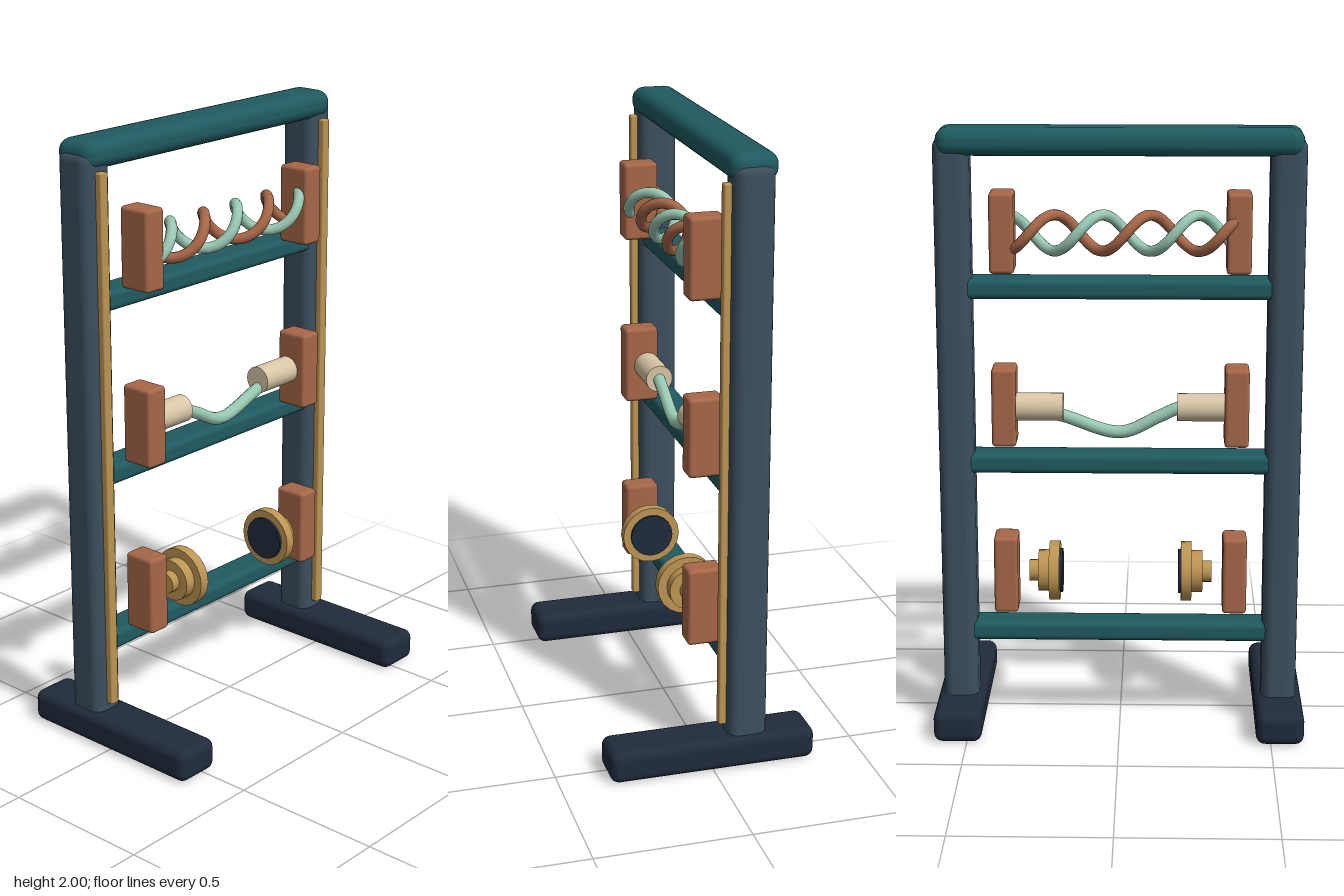
import * as THREE from 'three';
import { RoundedBoxGeometry } from 'three/addons/geometries/RoundedBoxGeometry.js';

function paint(name, color) {
  const m = new THREE.MeshStandardMaterial({ color });
  m.name = name;
  return m;
}

export function createModel() {
  const root = new THREE.Group();
  root.name = 'rack';
  const teal = paint('teal', 0x1f5a60);
  const slate = paint('slate', 0x3c4f5e);
  const navy = paint('navy', 0x202b3c);
  const clay = paint('clay', 0xa76748);
  const mint = paint('mint', 0x98c8b2);
  const cream = paint('cream', 0xd9c6a6);
  const brass = paint('brass', 0xbd9553);

  function add(name, geometry, material, x = 0, y = 0, z = 0) {
    const mesh = new THREE.Mesh(geometry, material);
    mesh.name = name;
    mesh.position.set(x, y, z);
    root.add(mesh);
    return mesh;
  }
  const box = (name, mat, w, h, d, r, x, y, z) =>
    add(name, new RoundedBoxGeometry(w, h, d, 3, r), mat, x, y, z);

  // Cylinder lying along x, between x0 and x1
  function disc(name, mat, r, x0, x1, y, z) {
    const mesh = add(name, new THREE.CylinderGeometry(r, r, Math.abs(x1 - x0), 20), mat, (x0 + x1) / 2, y, z);
    mesh.rotation.z = Math.PI / 2;
  }

  // Frame: top beam and three rails
  box('topBeam', teal, 1.155, 0.09, 0.153, 0.04, 0, 1.955, -0.122);
  const railTops = [0.365, 0.943, 1.52];
  for (const top of railTops) box('rail', teal, 1.0, 0.066, 0.11, 0.02, 0, top - 0.033, -0.12);

  for (const s of [-1, 1]) {
    // Uprights, feet and brass inlay strips
    box('foot', navy, 0.158, 0.108, 0.68, 0.03, s * 0.53, 0.054, 0);
    box('post', slate, 0.115, 1.91, 0.13, 0.035, s * 0.53, 1.015, -0.12);
    box('trimStrip', brass, 0.032, 1.775, 0.03, 0.006, s * 0.53, 1.02, -0.047);

    // End blocks standing on every rail
    for (const top of railTops) box('endBlock', clay, 0.08, 0.262, 0.115, 0.012, s * 0.382, top + 0.129, -0.022);

    // Grips on the curved bar
    disc('grip', cream, 0.046, s * 0.342, s * 0.187, 1.07, -0.04);

    // Stepped knobs with dark pads facing inward
    disc('knobShaft', brass, 0.036, s * 0.306, s * 0.27, 0.493, -0.015);
    disc('knobHub', brass, 0.07, s * 0.275, s * 0.23, 0.493, -0.015);
    disc('knobFlange', brass, 0.1, s * 0.238, s * 0.203, 0.493, -0.015);
    disc('knobPad', navy, 0.074, s * 0.205, s * 0.194, 0.493, -0.015);
  }

  // Two intertwined strands on the top rail
  [mint, clay].forEach((mat, i) => {
    const pts = [];
    for (let k = 0; k <= 48; k++) {
      const x = -0.37 + (0.74 * k) / 48;
      const a = (2 * Math.PI * (x + 0.245)) / 0.31 + i * Math.PI;
      pts.push(new THREE.Vector3(x, 1.645 + 0.058 * Math.cos(a), -0.03 - 0.056 * Math.sin(a)));
    }
    add('twistedStrand', new THREE.TubeGeometry(new THREE.CatmullRomCurve3(pts), 120, 0.018, 10), mat);
  });

  // Sagging bar between the grips
  const sag = [[-0.34, 1.075], [-0.2, 1.07], [-0.13, 1.04], [0, 0.985], [0.19, 1.04], [0.34, 1.075]]
    .map(([x, y]) => new THREE.Vector3(x, y, -0.04));
  add('curvedBar', new THREE.TubeGeometry(new THREE.CatmullRomCurve3(sag), 48, 0.021, 10), mint);

  return root;
}
